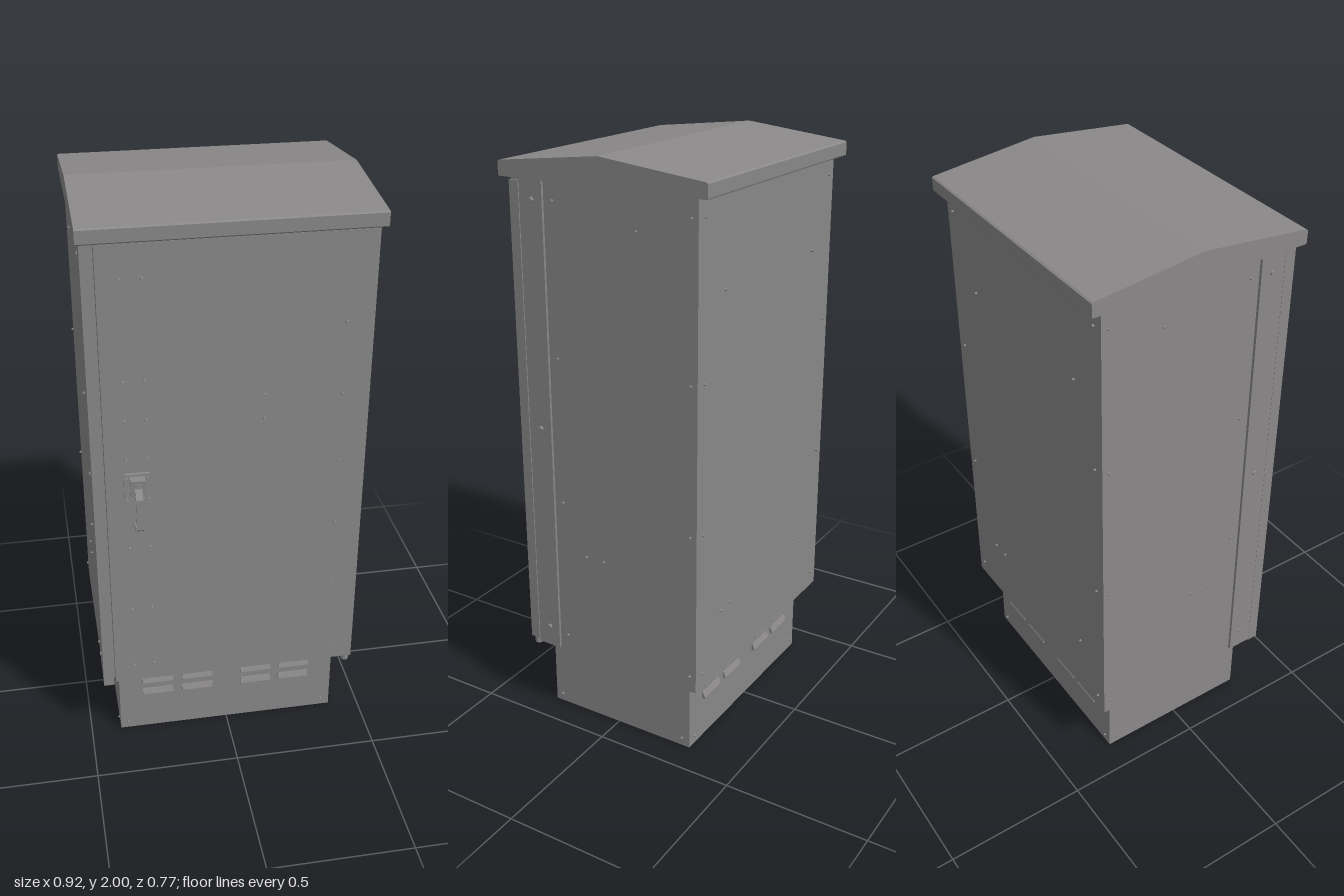
import * as THREE from 'three';

const grey = new THREE.MeshStandardMaterial({ color: 0x8a8888, flatShading: true });

function add(parent, geometry, name) {
  const mesh = new THREE.Mesh(geometry, grey);
  mesh.name = name;
  parent.add(mesh);
  return mesh;
}

// Box given by its limits on each axis
function box(parent, name, x0, x1, y0, y1, z0, z1) {
  const mesh = add(parent, new THREE.BoxGeometry(x1 - x0, y1 - y0, z1 - z0), name);
  mesh.position.set((x0 + x1) / 2, (y0 + y1) / 2, (z0 + z1) / 2);
  return mesh;
}

// Profile of [z, y] points swept along x from x0 to x1
function sweepX(parent, name, points, x0, x1) {
  const shape = new THREE.Shape(points.map(([z, y]) => new THREE.Vector2(-z, y)));
  const geometry = new THREE.ExtrudeGeometry(shape, { depth: x1 - x0, bevelEnabled: false });
  geometry.rotateY(Math.PI / 2).translate(x0, 0, 0);
  return add(parent, geometry, name);
}

// Screw head whose axis follows the given outward direction
const screwGeometry = new THREE.CylinderGeometry(0.003, 0.005, 0.008, 8);
const up = new THREE.Vector3(0, 1, 0);
function screw(parent, x, y, z, dx, dz, size = 1) {
  const mesh = add(parent, screwGeometry, 'screw');
  mesh.position.set(x + dx * 0.003, y, z + dz * 0.003);
  mesh.quaternion.setFromUnitVectors(up, new THREE.Vector3(dx, 0, dz));
  mesh.scale.set(size, 1, size);
}

function createPlinth() {
  const plinth = new THREE.Group();
  plinth.name = 'plinth';
  box(plinth, 'plinthBox', -0.393, 0.392, 0, 0.28, -0.291, 0.275);

  // Louvre hoods on front and back, open side down
  const hood = [[-0.002, -0.012], [0.012, -0.012], [0.012, -0.007], [0.003, 0.013], [-0.002, 0.013]];
  for (const [face, dir] of [[0.275, 1], [-0.291, -1]]) {
    const louvres = new THREE.Group();
    louvres.name = dir > 0 ? 'frontLouvres' : 'backLouvres';
    for (const x of [-0.253, -0.108, 0.107, 0.248]) {
      for (const y of [0.217, 0.165]) {
        const louvre = sweepX(louvres, 'louvre', hood, -0.055, 0.055);
        louvre.position.set(x, y, 0);
      }
    }
    louvres.position.z = face;
    if (dir < 0) louvres.rotation.y = Math.PI;
    plinth.add(louvres);
  }

  for (const y of [0.03, 0.235]) {
    for (const x of [-0.365, 0.36]) {
      screw(plinth, x, y, 0.275, 0, 1);
      screw(plinth, x, y, -0.291, 0, -1);
    }
    for (const z of [-0.262, 0.247]) {
      screw(plinth, 0.392, y, z, 1, 0);
      screw(plinth, -0.393, y, z, -1, 0);
    }
  }
  return plinth;
}

function createCabinet() {
  const cabinet = new THREE.Group();
  cabinet.name = 'cabinet';
  box(cabinet, 'body', -0.447, 0.447, 0.272, 1.912, -0.348, 0.203);
  // Narrow recess between body and front frame
  box(cabinet, 'frameRecess', -0.43, 0.43, 0.275, 1.912, 0.2, 0.215);
  box(cabinet, 'frontFrame', -0.449, 0.447, 0.265, 1.912, 0.21, 0.297);

  // Side panel and back panel screws
  const rows = [0.33, 0.84, 1.345, 1.85];
  for (const side of [-1, 1]) {
    const x = side * 0.447;
    for (const y of rows) {
      for (const z of [-0.325, 0.17]) screw(cabinet, x, y, z, side, 0);
      screw(cabinet, side * 0.41, y, -0.348, 0, -1);
    }
    for (const [z, y] of [[-0.135, 1.79], [0.08, 0.66], [0.01, 0.66]]) screw(cabinet, x, y, z, side, 0);
    for (const y of [0.34, 1.09, 1.845]) screw(cabinet, x, y, 0.25, side, 0, 2);
  }
  for (const [x, y] of [[0.29, 1.61], [-0.3, 1.61], [0.29, 0.51], [0.225, 0.51], [-0.3, 0.51]]) {
    screw(cabinet, x, y, -0.348, 0, -1);
  }
  return cabinet;
}

function createDoor() {
  const door = new THREE.Group();
  door.name = 'door';
  box(door, 'doorBacking', -0.442, 0.442, 0.275, 1.9, 0.29, 0.303);
  box(door, 'doorPanel', -0.408, 0.447, 0.275, 1.9, 0.3, 0.335);
  box(door, 'edgeStrip', -0.45, -0.414, 0.262, 1.905, 0.297, 0.334);

  // Hinge pin foot below the frame
  const pin = add(door, new THREE.CylinderGeometry(0.014, 0.014, 0.03, 12), 'hingePin');
  pin.position.set(0.43, 0.265, 0.316);

  for (const y of [0.345, 0.59, 0.84, 1.18, 1.32, 1.455, 1.79]) {
    for (const x of [-0.34, -0.272]) screw(door, x, y, 0.335, 0, 1);
  }
  for (const y of [0.345, 0.615, 0.865, 1.11, 1.355, 1.605]) screw(door, 0.358, y, 0.335, 0, 1);
  for (const y of [1.29, 1.375]) screw(door, 0.105, y, 0.335, 0, 1);
  return door;
}

function createHandle() {
  const handle = new THREE.Group();
  handle.name = 'handle';
  box(handle, 'handlePlate', -0.35, -0.265, 1.02, 1.13, 0.334, 0.345);
  // Pivot housing with sloping front
  sweepX(handle, 'pivotHousing',
    [[0.34, 1.05], [0.352, 1.05], [0.358, 1.11], [0.351, 1.122], [0.34, 1.122]], -0.33, -0.282);
  const pivot = add(handle, new THREE.CylinderGeometry(0.015, 0.015, 0.012, 16), 'pivot');
  pivot.rotation.x = Math.PI / 2;
  pivot.position.set(-0.305, 1.085, 0.354);
  // Bent lever
  sweepX(handle, 'lever', [
    [0.345, 1.085], [0.358, 1.085], [0.385, 1.055], [0.385, 0.942], [0.378, 0.934], [0.336, 0.929],
    [0.336, 0.937], [0.371, 0.943], [0.376, 0.948], [0.376, 1.05], [0.352, 1.07], [0.345, 1.07],
  ], -0.317, -0.293);
  box(handle, 'leverTip', -0.32, -0.29, 0.927, 0.94, 0.337, 0.372);
  for (const x of [-0.342, -0.273]) {
    for (const y of [1.035, 1.115]) screw(handle, x, y, 0.345, 0, 1);
  }
  return handle;
}

function createRoof() {
  const roof = new THREE.Group();
  roof.name = 'roof';
  // Shallow gable with vertical eaves
  sweepX(roof, 'roofGable', [
    [-0.384, 1.91], [0.36, 1.91], [0.363, 1.914], [0.363, 1.955],
    [0.357, 1.959], [-0.012, 2], [-0.38, 1.959], [-0.386, 1.955], [-0.386, 1.914],
  ], -0.462, 0.462);
  box(roof, 'roofCollar', -0.44, 0.44, 1.9, 1.914, -0.335, 0.33);
  return roof;
}

export function createModel() {
  const model = new THREE.Group();
  model.name = 'outdoorCabinet';
  model.add(createPlinth(), createCabinet(), createDoor(), createHandle(), createRoof());
  return model;
}
